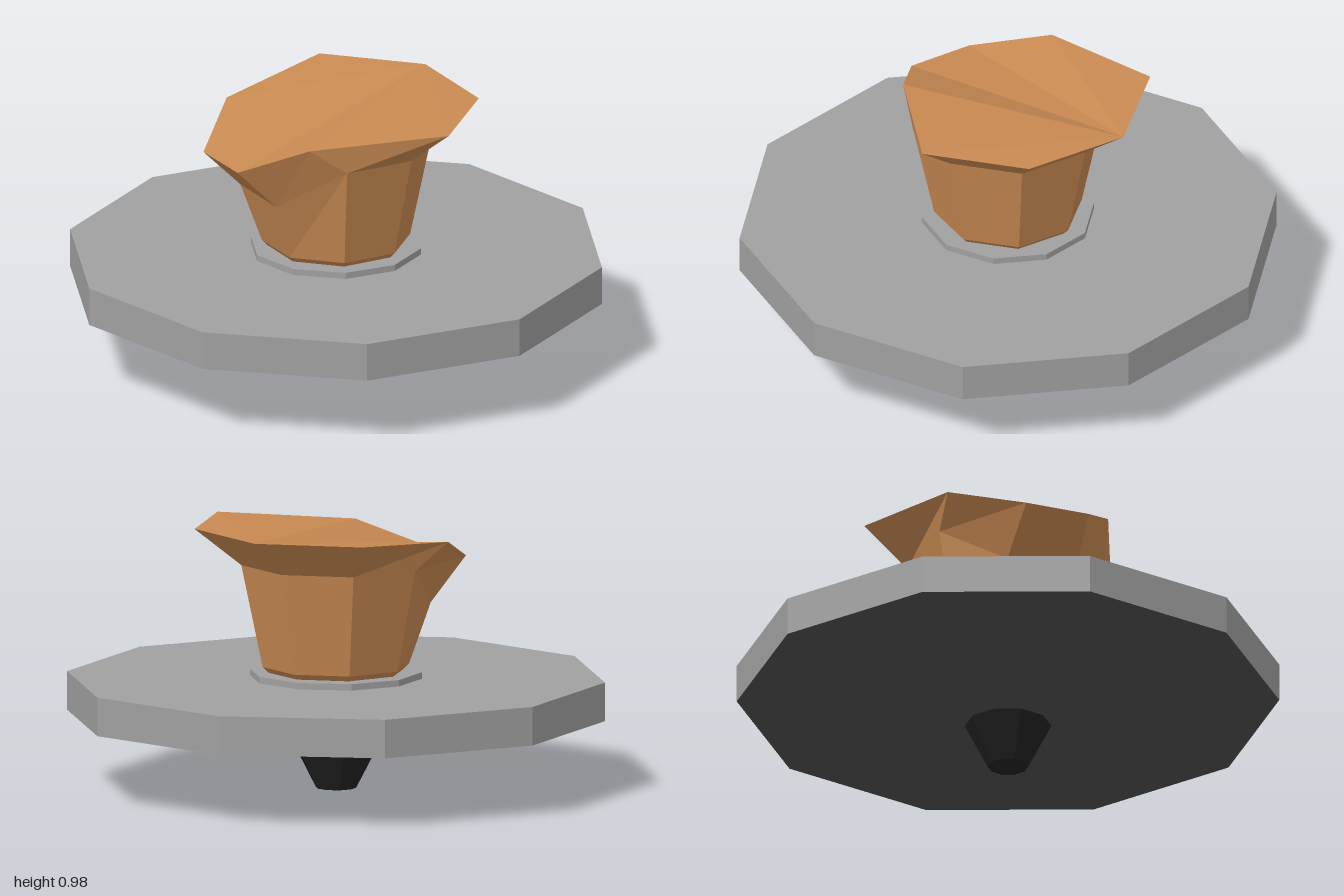
import * as THREE from 'three';

const material = (color) => new THREE.MeshStandardMaterial({ color, flatShading: true });

// Ten-sided turned section between two heights
function section(name, rTop, rBottom, y0, y1, color) {
  const mesh = new THREE.Mesh(new THREE.CylinderGeometry(rTop, rBottom, y1 - y0, 10), material(color));
  mesh.position.y = (y0 + y1) / 2;
  mesh.name = name;
  return mesh;
}

// Eight-point level ring, starting at the back +x corner and running counterclockwise from above
function octagon(r, y) {
  return Array.from({ length: 8 }, (_, i) => {
    const a = (i + 3) * Math.PI / 4;
    return [r * Math.sin(a), y, r * Math.cos(a)];
  });
}

// Skin stacked rings with flat faces and close both ends
function loft(rings) {
  const n = rings[0].length, out = [];
  const tri = (a, b, c) => out.push(...a, ...b, ...c);
  for (let k = 0; k < rings.length - 1; k++) {
    for (let i = 0; i < n; i++) {
      const j = (i + 1) % n, lo = rings[k], hi = rings[k + 1];
      tri(lo[i], lo[j], hi[j]);
      tri(lo[i], hi[j], hi[i]);
    }
  }
  const bottom = rings[0], top = rings[rings.length - 1];
  for (let i = 1; i < n - 1; i++) {
    tri(bottom[0], bottom[i + 1], bottom[i]);
    tri(top[0], top[i], top[i + 1]);
  }
  const geometry = new THREE.BufferGeometry();
  geometry.setAttribute('position', new THREE.Float32BufferAttribute(out, 3));
  geometry.computeVertexNormals();
  return geometry;
}

export function createModel() {
  const model = new THREE.Group();
  model.name = 'spinningTop';

  // Spinning body, from the point up to the collar
  model.add(
    section('tip', 0.16, 0.075, 0, 0.165, 0x222222),
    section('underside', 1, 0.16, 0.165, 0.268, 0x505050),
    section('disc', 1, 1, 0.268, 0.412, 0xa0a0a0),
    section('collar', 0.32, 0.32, 0.412, 0.436, 0xa0a0a0),
  );

  // Handle neck, with two corners of its shoulder pulled down
  const shoulder = octagon(0.355, 0.84);
  shoulder[3][1] = shoulder[4][1] = 0.68;

  // Flared rim, bent down on the -x side
  const rim = octagon(0.53, 0.98);
  rim[2] = [-0.38, 0.94, -0.22];
  rim[3] = [-0.5, 0.84, 0.07];
  rim[4] = [-0.4, 0.84, 0.3];
  rim[5] = [-0.14, 0.94, 0.37];

  const handle = new THREE.Mesh(
    loft([octagon(0.255, 0.436), octagon(0.275, 0.457), shoulder, rim]),
    material(0xc98a52),
  );
  handle.name = 'handle';
  model.add(handle);
  return model;
}
